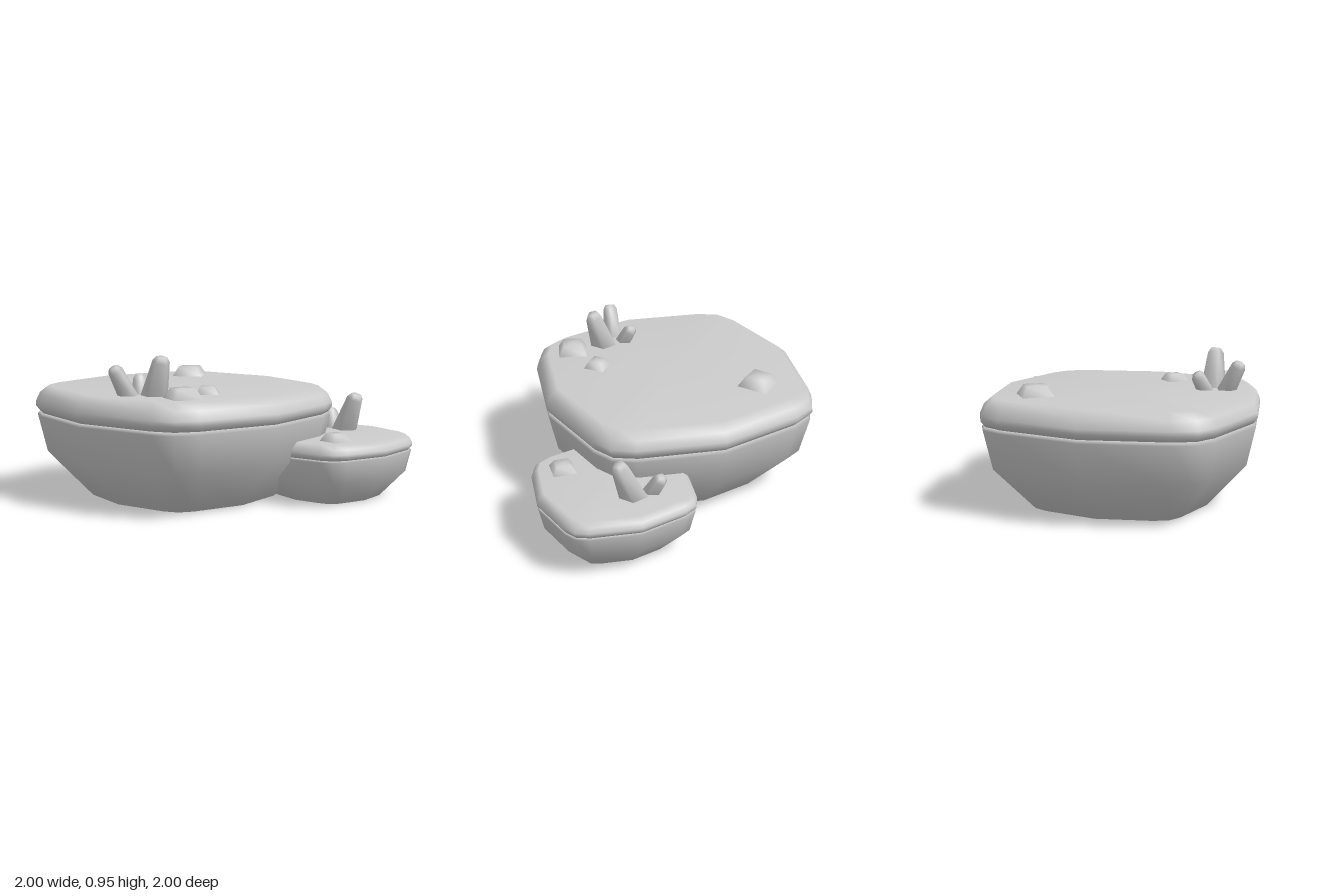
import * as THREE from 'three';
import { mergeVertices } from 'three/addons/utils/BufferGeometryUtils.js';

const material = new THREE.MeshStandardMaterial({ color: 0xcccccc });

// Rounded-square outline: one quarter, as unit-size [x, z] points, turned four times
const quarter = [[0, 1], [0.63, 0.872], [0.79, 0.79], [0.872, 0.63]];
const outline = [];
for (let q = 0; q < 4; q++) {
  for (const [x, z] of quarter) {
    const c = Math.round(Math.cos(q * Math.PI / 2)), s = Math.round(Math.sin(q * Math.PI / 2));
    outline.push([x * c + z * s, z * c - x * s]);
  }
}

function smoothLathe(profile, sides) {
  return new THREE.LatheGeometry(profile.map(([r, y]) => new THREE.Vector2(r, y)), sides);
}

// Weld the seam so that shading runs smoothly around the part
function finish(geometry, name) {
  geometry.deleteAttribute('uv');
  geometry.deleteAttribute('normal');
  const welded = mergeVertices(geometry, 1e-4);
  welded.computeVertexNormals();
  const mesh = new THREE.Mesh(welded, material);
  mesh.name = name;
  return mesh;
}

// Sweep a [radius, y] profile around the rounded-square outline
function slab(profile, name) {
  const geometry = smoothLathe(profile, outline.length);
  const pos = geometry.attributes.position;
  for (let i = 0; i < pos.count; i++) {
    const [r] = profile[i % profile.length];
    const [ox, oz] = outline[Math.floor(i / profile.length) % outline.length];
    pos.setXYZ(i, r * ox, pos.getY(i), r * oz);
  }
  return finish(geometry, name);
}

function island(name, x, z, scale) {
  const group = new THREE.Group();
  group.name = name;
  group.add(slab([[0, 0], [0.545, 0], [0.79, 0.27], [0.845, 0.515], [0.83, 0.535], [0, 0.535]], 'rockBase'));
  group.add(slab([[0, 0.53], [0.83, 0.535], [0.855, 0.57], [0.853, 0.6], [0.83, 0.655], [0.775, 0.703], [0, 0.703]], 'topLayer'));
  group.position.set(x, 0, z);
  group.scale.setScalar(scale);
  return group;
}

// Five-sided crystal leaning from its base point to its tip point
function crystal(base, tip, rBase, rTop, turn = 0) {
  const from = new THREE.Vector3(...base);
  const axis = new THREE.Vector3(...tip).sub(from);
  const h = axis.length();
  const profile = [[0, -0.04], [rBase, -0.04], [rTop, h - 0.03], [rTop * 0.65, h], [0, h]];
  const geometry = smoothLathe(profile, 5);
  geometry.rotateY(turn);
  const mesh = finish(geometry, 'crystal');
  mesh.quaternion.setFromUnitVectors(new THREE.Vector3(0, 1, 0), axis.normalize());
  mesh.position.copy(from);
  return mesh;
}

// Low four-sided stone
function stone(x, y, z, radius, height, degrees) {
  const profile = [[0, -0.01], [radius, -0.01], [radius, 0], [radius * 0.62, height], [0, height]];
  const mesh = finish(smoothLathe(profile, 4), 'stone');
  mesh.position.set(x, y, z);
  mesh.rotation.y = THREE.MathUtils.degToRad(degrees);
  return mesh;
}

export function createModel() {
  const model = new THREE.Group();
  model.name = 'crystalIslands';
  model.add(island('largeIsland', -0.145, -0.145, 1));
  model.add(island('smallIsland', 0.517, 0.517, 0.562));

  // Crystals on the large island
  model.add(crystal([-0.635, 0.7, 0.145], [-0.635, 0.937, 0.215], 0.09, 0.055));
  model.add(crystal([-0.755, 0.7, 0.035], [-0.845, 0.878, 0.015], 0.062, 0.048));
  model.add(crystal([-0.63, 0.7, -0.005], [-0.585, 0.81, -0.045], 0.055, 0.046, 0.6));

  // Crystals on the small island
  model.add(crystal([0.733, 0.395, 0.475], [0.733, 0.63, 0.563], 0.09, 0.055));
  model.add(crystal([0.735, 0.395, 0.35], [0.78, 0.508, 0.305], 0.055, 0.046, 0.6));

  // Stones
  model.add(stone(0.285, 0.7, -0.56, 0.14, 0.066, 80));
  model.add(stone(-0.61, 0.7, 0.37, 0.13, 0.066, 27));
  model.add(stone(-0.34, 0.7, 0.293, 0.096, 0.048, 0));
  model.add(stone(0.305, 0.395, 0.763, 0.1, 0.048, 39));
  return model;
}
